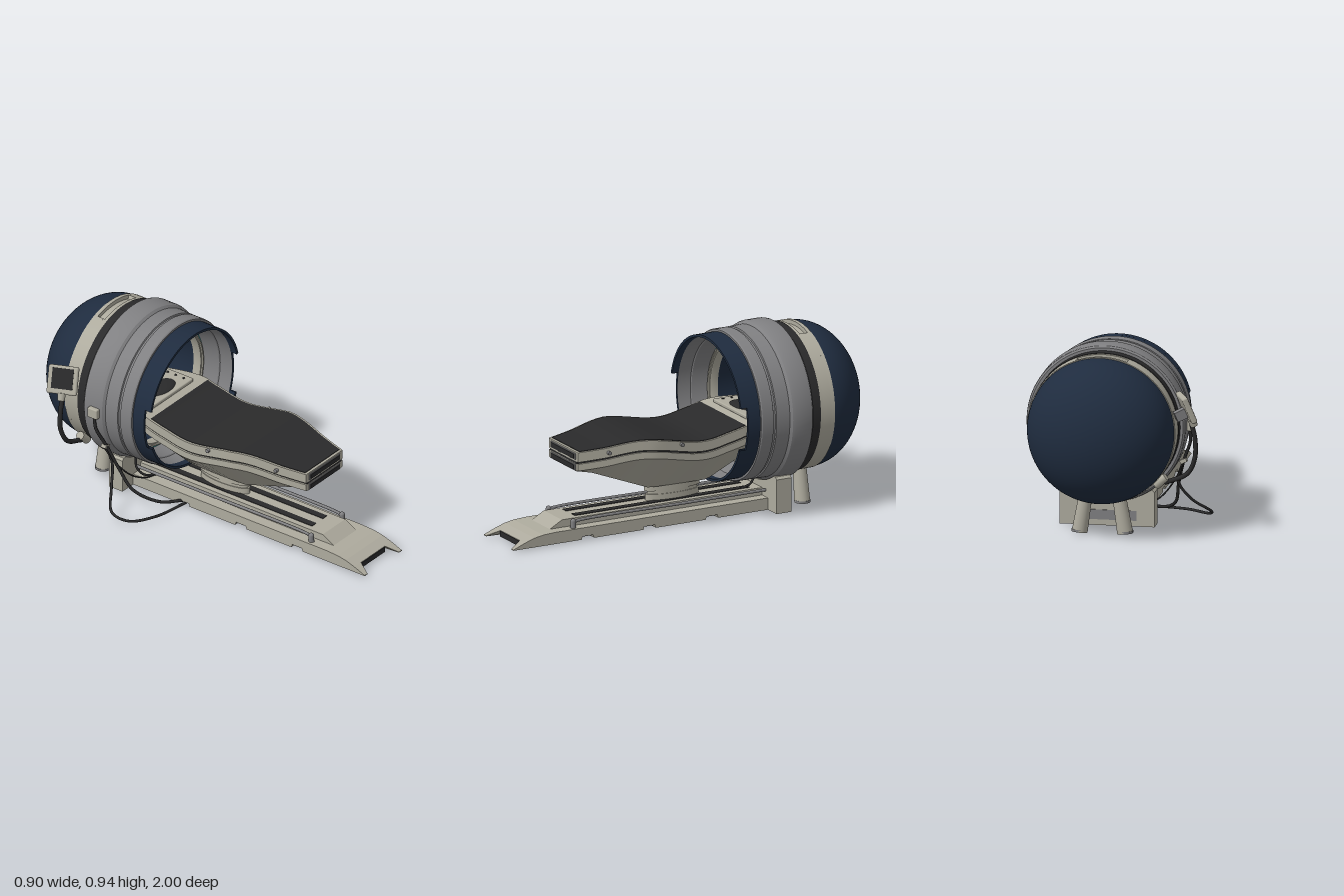
import * as THREE from 'three';
import { toCreasedNormals } from 'three/addons/utils/BufferGeometryUtils.js';
import { RoundedBoxGeometry } from 'three/addons/geometries/RoundedBoxGeometry.js';

const mat = (name, color, side = THREE.FrontSide) => {
  const m = new THREE.MeshStandardMaterial({ color, side });
  m.name = name;
  return m;
};
const light = mat('warm light grey', 0xaeab9e);
const grey = mat('drum grey', 0x808082);
const navy = mat('navy shell', 0x1f2c3f, THREE.DoubleSide);
const dark = mat('charcoal', 0x2a2a2b);
const cyan = mat('cyan light', 0x1fc9cf);

const AXIS_X = 0.044, AXIS_Y = 0.53;
const V = (x, y, z) => new THREE.Vector3(x, y, z);

function add(parent, name, geo, material, x = 0, y = 0, z = 0) {
  const m = new THREE.Mesh(geo, material);
  m.name = name;
  m.position.set(x, y, z);
  parent.add(m);
  return m;
}
const box = (w, h, d) => new THREE.BoxGeometry(w, h, d);

// Turned part around the drum axis; points are [radius, z]; angle 0 is the bottom
function ring(points, start = 0, length = Math.PI * 2) {
  const g = new THREE.LatheGeometry(points.map(p => new THREE.Vector2(...p)), 96, start, length);
  g.rotateX(Math.PI / 2);
  return toCreasedNormals(g, 0.5);
}

// Skin over rings of [x, y, z], running front to back, each counter-clockwise from the front
function loft(rings) {
  const n = rings[0].length, pos = [];
  const tri = (...p) => p.forEach(q => pos.push(...q));
  for (let i = 0; i < rings.length - 1; i++) {
    for (let j = 0; j < n; j++) {
      const k = (j + 1) % n, a = rings[i][j], b = rings[i][k], c = rings[i + 1][k], d = rings[i + 1][j];
      tri(a, d, c);
      tri(a, c, b);
    }
  }
  const f = rings[0], r = rings[rings.length - 1];
  for (let j = 1; j < n - 1; j++) {
    tri(f[0], f[j], f[j + 1]);
    tri(r[0], r[j + 1], r[j]);
  }
  const g = new THREE.BufferGeometry();
  g.setAttribute('position', new THREE.Float32BufferAttribute(pos, 3));
  return toCreasedNormals(g, 0.35);
}

// Side profile of [z, y] swept across x0..x1
function sweepX(profile, x0, x1) {
  const s = new THREE.Shape(profile.map(p => new THREE.Vector2(...p)));
  const g = new THREE.ExtrudeGeometry(s, { depth: x1 - x0, bevelEnabled: false });
  g.rotateY(-Math.PI / 2);
  g.translate(x1, 0, 0);
  return g;
}

// Linear lookup in a table of [z, value], z falling
function lookup(table, z) {
  for (let i = 0; i < table.length - 1; i++) {
    const [z0, v0] = table[i], [z1, v1] = table[i + 1];
    if (z >= z1) return v0 + (v1 - v0) * Math.min(1, Math.max(0, (z0 - z) / (z0 - z1)));
  }
  return table[table.length - 1][1];
}

function makeDrum() {
  const drum = new THREE.Group();
  drum.name = 'drum';
  drum.position.set(AXIS_X, AXIS_Y, 0);
  const dome = (r, z0, depth) => Array.from({ length: 25 }, (_, i) => {
    const t = i / 24 * Math.PI / 2;
    return [r * Math.sin(t), z0 - depth * Math.cos(t)];
  });
  add(drum, 'rearDome', ring(dome(0.372, -0.715, 0.285)), navy);
  add(drum, 'innerTunnel', ring([[0.302, -0.39], [0.302, -0.7], ...dome(0.302, -0.7, 0.27).reverse()]), navy);

  // Front lip with a notch on each side
  add(drum, 'lip', ring([[0.372, -0.3], [0.372, -0.22], [0.359, -0.22], [0.359, -0.3]]), navy);
  const edge = [[0.372, -0.22], [0.372, -0.185], [0.359, -0.185], [0.359, -0.22]];
  add(drum, 'lipTop', ring(edge, 1.815, Math.PI * 2 - 3.63), navy);
  add(drum, 'lipBottom', ring(edge, -1.21, 2.42), navy);

  // Mouth lining
  add(drum, 'mouthFunnel', ring([[0.3585, -0.222], [0.35, -0.29], [0.345, -0.295], [0.326, -0.385]]), grey);
  add(drum, 'mouthLight', new THREE.TorusGeometry(0.326, 0.003, 8, 96), cyan, 0, 0, -0.38);
  add(drum, 'mouthRing', ring([[0.326, -0.385], [0.32, -0.37], [0.313, -0.37], [0.311, -0.377],
    [0.304, -0.377], [0.3, -0.385], [0.3, -0.42]]), light);

  // Outer bands
  add(drum, 'greyBands', ring([[0.37, -0.58], [0.393, -0.58], [0.402, -0.572], [0.405, -0.56], [0.405, -0.48],
    [0.4, -0.462], [0.388, -0.45], [0.386, -0.375], [0.379, -0.372], [0.379, -0.362], [0.386, -0.358],
    [0.386, -0.297], [0.382, -0.29], [0.36, -0.29]]), grey);
  add(drum, 'darkBand', ring([[0.36, -0.632], [0.379, -0.632], [0.379, -0.58], [0.36, -0.58]]), dark);
  for (const z of [-0.65, -0.715]) {
    add(drum, 'bandRim', ring([[0.34, z], [0.376, z], [0.376, z + 0.02], [0.34, z + 0.02]]), light);
  }
  // Middle of the light band, sunk at the top
  add(drum, 'bandMiddle', ring([[0.376, -0.697], [0.376, -0.648]], Math.PI + 0.36, Math.PI * 2 - 0.72), light);
  add(drum, 'bandRecess', ring([[0.355, -0.697], [0.355, -0.648]], Math.PI - 0.38, 0.76), light);
  for (const a of [-0.36, 0.36]) {
    const end = add(drum, 'recessEnd', box(0.008, 0.03, 0.05), light, 0.361 * Math.sin(a), 0.361 * Math.cos(a), -0.672);
    end.rotation.z = -a;
  }
  return drum;
}

function makeBase() {
  const base = new THREE.Group();
  base.name = 'base';
  base.position.x = AXIS_X;
  const grooves = [-0.135, 0.222, 0.575];
  const under = grooves.flatMap(z => [[z - 0.036, 0], [z - 0.03, 0.018], [z + 0.03, 0.018], [z + 0.036, 0]]);
  const top = [[0.935, 0.03], [0.88, 0.048], [0.83, 0.057], [0.76, 0.061], [-0.5, 0.061], [-0.5, 0], ...under];
  add(base, 'baseMiddle', sweepX([[0.935, 0], ...top], -0.098, 0.098), light);
  for (const s of [-1, 1]) {
    const g = sweepX([[1, 0], [1, 0.004], ...top], s < 0 ? -0.153 : 0.098, s < 0 ? -0.098 : 0.153);
    const p = g.attributes.position;
    for (let i = 0; i < p.count; i++) {
      if (p.getZ(i) > 0.95 && Math.abs(p.getX(i)) < 0.1) p.setX(i, s * 0.13);
    }
    g.computeVertexNormals();
    add(base, 'baseSide', g, light);
    // Side handrail with front post
    const path = new THREE.CatmullRomCurve3([V(0, 0.06, 0.655), V(0, 0.09, 0.645), V(0, 0.097, 0.61),
      V(0, 0.097, 0), V(0, 0.097, -0.46)]);
    add(base, 'sideTube', new THREE.TubeGeometry(path, 40, 0.008, 8), grey, s * 0.127);
    add(base, 'tubePost', new THREE.CapsuleGeometry(0.014, 0.03, 4, 14), grey, s * 0.127, 0.08, 0.645);
    add(base, 'railSlot', box(0.035, 0.006, 1.0), dark, s * 0.045, 0.1, 0.1);
    // Rear leg
    const leg = add(base, 'rearLeg', new THREE.CylinderGeometry(0.034, 0.04, 0.19, 24), light, s * 0.1, 0.093, -0.672);
    leg.rotation.z = s * 0.16;
    add(base, 'legFoot', new THREE.CylinderGeometry(0.04, 0.04, 0.012, 24), grey, s * 0.116, 0.006, -0.672);
  }
  add(base, 'frontNotch', box(0.19, 0.028, 0.006), dark, 0, 0.014, 0.936);
  for (const z of grooves) add(base, 'grooveLining', box(0.3, 0.004, 0.056), dark, 0, 0.0165, z);
  add(base, 'rail', sweepX([[0.77, 0.055], [0.69, 0.1], [-0.46, 0.1], [-0.46, 0.055]], -0.093, 0.093), light);

  // Saddle block carrying the drum
  const s = new THREE.Shape();
  s.moveTo(-0.241, 0);
  s.lineTo(0.241, 0);
  s.lineTo(0.241, 0.178);
  s.lineTo(0.229, 0.19);
  s.lineTo(0.21, 0.19);
  s.absarc(0, AXIS_Y, 0.4, -1.018, -Math.PI + 1.018, true);
  s.lineTo(-0.229, 0.19);
  s.lineTo(-0.241, 0.178);
  add(base, 'saddle', new THREE.ExtrudeGeometry(s, { depth: 0.085, bevelEnabled: false, curveSegments: 32 }), light, 0, 0, -0.54);
  add(base, 'saddlePanel', box(0.3, 0.05, 0.006), grey, 0, 0.055, -0.541);
  return base;
}

function makeTable() {
  const table = new THREE.Group();
  table.name = 'table';
  table.position.x = AXIS_X;
  const curve = new THREE.SplineCurve([[0.63, 0.455], [0.5, 0.466], [0.275, 0.49], [-0.02, 0.442], [-0.2, 0.467],
    [-0.36, 0.503], [-0.53, 0.508]].map(p => new THREE.Vector2(...p)));
  const stations = curve.getPoints(36);
  const half = z => lookup([[0.63, 0.15], [0.24, 0.245], [-0.3, 0.245], [-0.53, 0.17]], z);
  const layer = (inset, up, down, pts = stations) => loft(pts.map(({ x: z, y }) => {
    const w = half(z) - inset;
    return [[-w, y + down, z], [w, y + down, z], [w, y + up, z], [-w, y + up, z]];
  }));
  add(table, 'topSlab', layer(0, 0, -0.05), light);
  add(table, 'seam', layer(0.01, -0.048, -0.062), dark);
  add(table, 'pad', layer(0.012, 0.003, -0.004, stations.slice(1, 28)), dark);

  // Hull narrowing to the pedestal
  const bottomY = z => lookup([[0.63, 0.355], [0.53, 0.328], [0.17, 0.18], [-0.16, 0.176], [-0.53, 0.4]], z);
  const bottomW = z => lookup([[0.63, 0.13], [0.17, 0.052], [-0.16, 0.052], [-0.53, 0.13]], z);
  add(table, 'hull', loft(stations.map(({ x: z, y }) => {
    const w = half(z), b = bottomW(z), m = y - 0.095, u = y - 0.06;
    const yb = Math.min(bottomY(z), m - 0.003);
    return [[-b, yb, z], [b, yb, z], [w, m, z], [w, u, z], [-w, u, z], [-w, m, z]];
  })), light);

  // Foot grilles
  for (const y of [0.43, 0.374]) {
    add(table, 'grilleFrame', new RoundedBoxGeometry(0.255, 0.034, 0.008, 2, 0.003), grey, 0, y, 0.63);
    add(table, 'grille', box(0.235, 0.024, 0.006), dark, 0, y, 0.634);
  }
  // Side knobs
  for (const s of [-1, 1]) for (const [z, y] of [[0.475, 0.444], [0.09, 0.446]]) {
    const k = add(table, 'sideKnob', new THREE.CylinderGeometry(0.01, 0.01, 0.02, 16), grey, s * (half(z) + 0.005), y, z);
    k.rotation.z = Math.PI / 2;
  }
  // Head plate and headrest
  add(table, 'headPlate', new RoundedBoxGeometry(0.34, 0.02, 0.2, 2, 0.006), light, 0, 0.505, -0.42);
  const rest = add(table, 'headrest', new THREE.SphereGeometry(1, 32, 16), dark, 0, 0.512, -0.4);
  rest.scale.set(0.1, 0.017, 0.06);
  for (const s of [-1, 1]) for (let i = 0; i < 3; i++) {
    add(table, 'headPlateStud', new THREE.CylinderGeometry(0.007, 0.007, 0.006, 12), dark, s * 0.14, 0.515, -0.36 - i * 0.05);
  }
  // Pedestal
  for (const [r, y, h] of [[0.049, 0.165, 0.03], [0.044, 0.142, 0.03], [0.047, 0.115, 0.035]]) {
    const p = add(table, 'pedestal', new THREE.CylinderGeometry(r, r, h, 40), light, 0, y, 0.01);
    p.scale.z = 3.2;
  }
  return table;
}

function makeControlPanel() {
  const panel = new THREE.Group();
  panel.name = 'controlPanel';
  panel.position.set(-0.385, 0.66, -0.685);
  panel.rotation.set(-0.4, -1.16, 0, 'YXZ');
  add(panel, 'panelCase', new RoundedBoxGeometry(0.155, 0.145, 0.03, 3, 0.01), light);
  add(panel, 'screen', box(0.11, 0.105, 0.006), dark, 0, 0.008, 0.014);
  add(panel, 'panelSocket', new THREE.CylinderGeometry(0.022, 0.018, 0.04, 16), light, 0, -0.085, 0);
  add(panel, 'panelArm', box(0.04, 0.05, 0.06), grey, 0, -0.02, -0.04);
  return panel;
}

function makeCables() {
  const cables = new THREE.Group();
  cables.name = 'cables';
  const cable = (name, r, pts) => add(cables, name,
    new THREE.TubeGeometry(new THREE.CatmullRomCurve3(pts.map(p => V(...p))), 64, r, 10), dark);
  cable('panelHose', 0.012, [[-0.408, 0.575, -0.67], [-0.425, 0.5, -0.67], [-0.425, 0.4, -0.67], [-0.385, 0.315, -0.66], [-0.27, 0.262, -0.66]]);
  cable('sideCable', 0.008, [[-0.37, 0.5, -0.5], [-0.37, 0.44, -0.49], [-0.33, 0.33, -0.45], [-0.295, 0.2, -0.4],
    [-0.27, 0.09, -0.33], [-0.2, 0.03, -0.22], [-0.1, 0.015, -0.15]]);
  cable('floorCable', 0.007, [[-0.33, 0.33, -0.46], [-0.3, 0.22, -0.44], [-0.36, 0.12, -0.4], [-0.447, 0.045, -0.33],
    [-0.42, 0.012, -0.25], [-0.3, 0.009, -0.17], [-0.1, 0.009, -0.13]]);
  cable('thinCable', 0.004, [[-0.33, 0.32, -0.47], [-0.28, 0.22, -0.44], [-0.2, 0.12, -0.4], [-0.12, 0.077, -0.37], [-0.05, 0.072, -0.35]]);
  cable('shortCable', 0.006, [[-0.12, 0.175, -0.43], [-0.138, 0.13, -0.41], [-0.11, 0.085, -0.38], [-0.05, 0.075, -0.34]]);
  cable('shortCable', 0.006, [[0.1, 0.15, -0.43], [0.11, 0.12, -0.4], [0.1, 0.1, -0.35]]);
  add(cables, 'cableBox', new RoundedBoxGeometry(0.028, 0.055, 0.06, 2, 0.006), light, -0.37, 0.527, -0.505);
  const clip = add(cables, 'cableClip', box(0.035, 0.02, 0.03), light, -0.33, 0.33, -0.46);
  clip.rotation.z = -0.4;
  const port = add(cables, 'hosePort', new THREE.CylinderGeometry(0.022, 0.026, 0.07, 16), light, -0.25, 0.27, -0.66);
  port.rotation.z = 0.9;
  return cables;
}

export function createModel() {
  const model = new THREE.Group();
  model.name = 'scanner';
  model.add(makeDrum(), makeBase(), makeTable(), makeControlPanel(), makeCables());
  return model;
}
